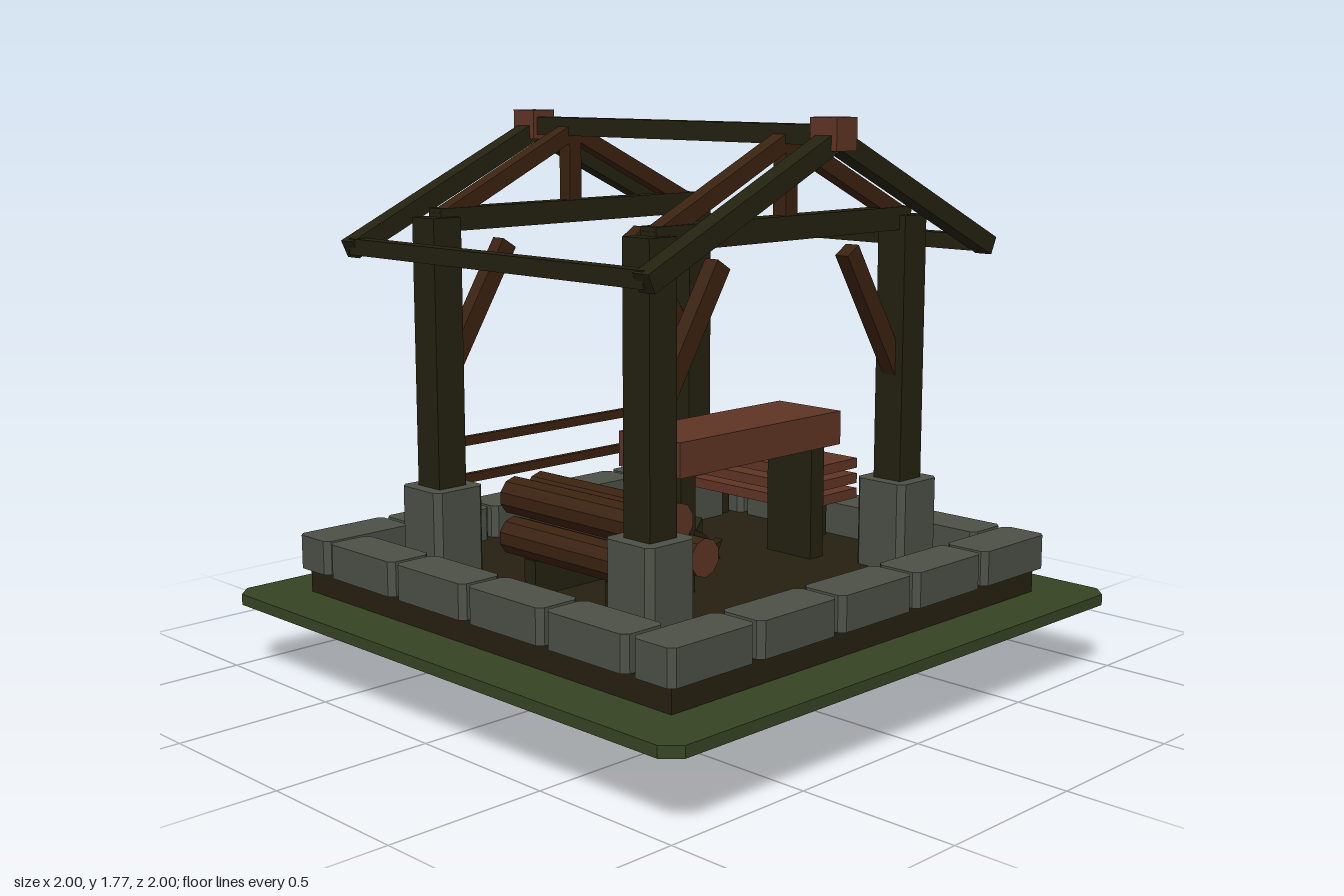
import * as THREE from 'three';

const mat = (name, color) => Object.assign(new THREE.MeshStandardMaterial({ color }), { name });

export function createModel() {
  const model = new THREE.Group();
  model.name = 'timberWorkshop';
  const grass = mat('grass green', 0x364323);
  const stone = mat('grey stone', 0x4c5046);
  const timber = mat('dark timber', 0x232110);
  const soil = mat('dark floor', 0x252010);
  const brown = mat('brown wood', 0x3b2210);
  const cut = mat('fresh cut wood', 0x5f3424);

  const add = (name, geo, material, x = 0, y = 0, z = 0, parent = model) => {
    const m = new THREE.Mesh(geo, material);
    m.name = name;
    m.position.set(x, y, z);
    parent.add(m);
    return m;
  };

  // Box given by its limits on each axis
  const block = (name, material, x0, x1, y0, y1, z0, z1) =>
    add(name, new THREE.BoxGeometry(x1 - x0, y1 - y0, z1 - z0), material,
      (x0 + x1) / 2, (y0 + y1) / 2, (z0 + z1) / 2);

  // Upright slab with clipped vertical corners, standing on y
  const slab = (name, material, x, z, w, d, y0, y1, c) => {
    const a = w / 2, b = d / 2;
    const s = new THREE.Shape([[-a + c, -b], [a - c, -b], [a, -b + c], [a, b - c],
      [a - c, b], [-a + c, b], [-a, b - c], [-a, -b + c]].map(p => new THREE.Vector2(...p)));
    const g = new THREE.ExtrudeGeometry(s, { depth: y1 - y0, bevelEnabled: false });
    g.rotateX(-Math.PI / 2);
    return add(name, g, material, x, y0, z);
  };

  // Sloping bar in the x-y plane between two points
  const bar = (name, material, x0, y0, x1, y1, z, thick, depth) => {
    const m = add(name, new THREE.BoxGeometry(Math.hypot(x1 - x0, y1 - y0), thick, depth),
      material, (x0 + x1) / 2, (y0 + y1) / 2, z);
    m.rotation.z = Math.atan2(y1 - y0, x1 - x0);
    return m;
  };

  const flat = g => {
    const f = g.toNonIndexed();
    f.computeVertexNormals();
    return f;
  };

  // Ground and floor
  slab('ground', grass, 0, 0, 2, 2, 0.22, 0.255, 0.05);
  block('floor', soil, -0.82, 0.82, 0.255, 0.335, -0.82, 0.82);

  // Ring of kerb stones
  for (const s of [-1, 1]) {
    for (let i = -2; i <= 2; i++)
      slab('kerbStone', stone, i * 0.342, s * 0.77, 0.325, 0.155, 0.335, 0.445, 0.018);
    for (let i = 0; i < 4; i++)
      slab('kerbStone', stone, s * 0.775, (i - 1.5) * 0.342, 0.15, 0.325, 0.335, 0.445, 0.018);
  }

  // Posts, footings, tie beams, braces and roof frames at front and back
  for (const f of [-1, 1]) {
    const z = f * 0.47, ze = f * 0.65;
    for (const s of [-1, 1]) {
      slab('postFooting', stone, s * 0.555, z, 0.19, 0.19, 0.335, 0.62, 0.02);
      block('post', timber, s * 0.555 - 0.053, s * 0.555 + 0.053, 0.6, 1.465, z - 0.053, z + 0.053);
      bar('brace', brown, s * 0.54, 0.955, s * 0.285, 1.37, z, 0.06, 0.05);
      bar('innerRafter', brown, s * 0.55, 1.455, 0, 1.715, z, 0.05, 0.05);
      bar('gableRafter', timber, s * 0.752, 1.366, 0, 1.718, ze, 0.058, 0.06);
    }
    block('tieBeam', timber, -0.56, 0.56, 1.42, 1.492, z - 0.03, z + 0.03);
    block('kingPost', brown, -0.025, 0.025, 1.49, 1.71, z - 0.025, z + 0.025);
    block('ridgeCap', cut, -0.045, 0.045, 1.685, 1.78, ze - 0.05, ze + 0.05);
  }
  block('ridgeBeam', timber, -0.03, 0.03, 1.70, 1.758, -0.65, 0.65);
  for (const s of [-1, 1])
    block('eaveBeam', timber, s * 0.73 - 0.025, s * 0.73 + 0.025, 1.35, 1.4, -0.65, 0.65);

  // Workbench
  block('benchTop', cut, -0.25, 0.49, 0.71, 0.82, 0.02, 0.285);
  for (const x of [-0.18, 0.42])
    block('benchLeg', timber, x - 0.031, x + 0.031, 0.335, 0.71, 0.06, 0.25);

  // Log pile on bearers
  for (const [x, y] of [[-0.49, 0.495], [-0.38, 0.495], [-0.27, 0.495], [-0.485, 0.62], [-0.38, 0.62]]) {
    const g = flat(new THREE.CylinderGeometry(0.06, 0.06, 0.61, 10));
    g.rotateX(Math.PI / 2);
    add('log', g, [brown, cut, cut], x, y, 0.105);
  }
  for (const z of [-0.08, 0.28])
    block('logBearer', timber, -0.53, -0.24, 0.335, 0.445, z - 0.025, z + 0.025);

  // Stack of planks with spacers
  for (const y of [0.465, 0.517, 0.57])
    block('plank', cut, 0.475, 0.75, y, y + 0.034, -0.455, 0.145);
  for (const z of [-0.41, 0.05])
    block('plankSpacer', timber, 0.52, 0.68, 0.335, 0.57, z - 0.02, z + 0.02);

  // Back fence
  for (const x of [-0.445, 0.662])
    block('fencePost', timber, x - 0.021, x + 0.021, 0.335, 0.805, -0.63, -0.59);
  for (const y of [0.587, 0.712])
    block('fenceRail', brown, -0.445, 0.662, y - 0.015, y + 0.015, -0.62, -0.6);

  // Saw blade set through the floor
  const saw = new THREE.Group();
  saw.name = 'sawBlade';
  saw.position.set(0, 0.258, 0.008);
  model.add(saw);
  const disc = flat(new THREE.CylinderGeometry(0.208, 0.208, 0.05, 20));
  disc.rotateX(Math.PI / 2);
  add('bladeDisc', disc, timber, 0, 0, 0, saw);
  const toothShape = new THREE.Shape([[-0.02, 0.195], [0.025, 0.195], [-0.012, 0.252]]
    .map(p => new THREE.Vector2(...p)));
  const tooth = new THREE.ExtrudeGeometry(toothShape, { depth: 0.03, bevelEnabled: false });
  tooth.translate(0, 0, -0.015);
  const groove = new THREE.BoxGeometry(0.012, 0.13, 0.056);
  groove.translate(0, 0.12, 0);
  for (let i = 0; i < 12; i++) {
    const a = (i / 12) * Math.PI * 2;
    add('bladeTooth', tooth, timber, 0, 0, 0, saw).rotation.z = a;
    add('bladeGroove', groove, stone, 0, 0, 0, saw).rotation.z = a + 0.2;
  }

  return model;
}
